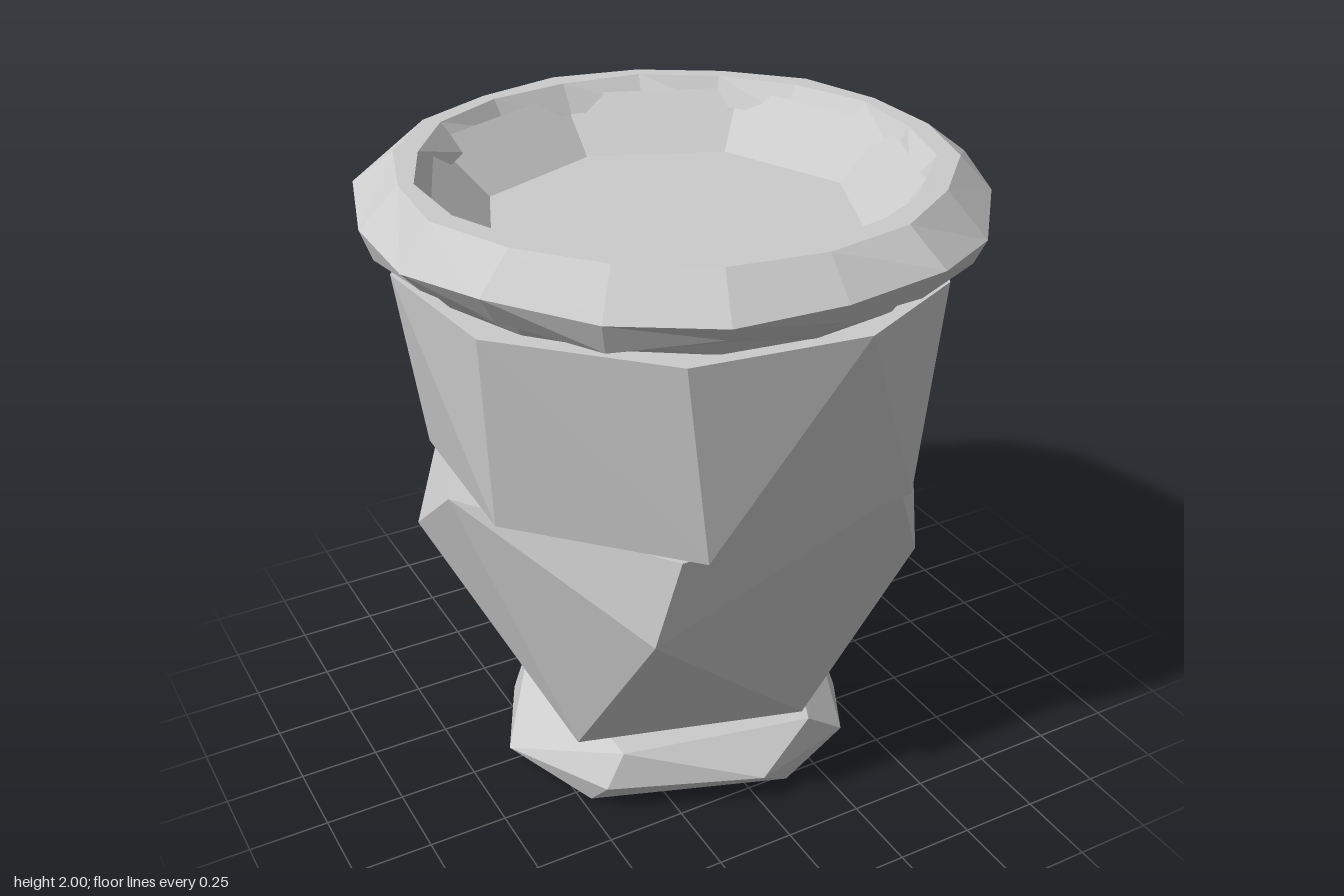
import * as THREE from 'three';
import { ConvexGeometry } from 'three/addons/geometries/ConvexGeometry.js';

const material = new THREE.MeshStandardMaterial({ color: 0xcccccc, flatShading: true });

function addMesh(group, name, geometry) {
  const mesh = new THREE.Mesh(geometry, material);
  mesh.name = name;
  group.add(mesh);
}

// Chiselled block: hull of stacked irregular rings, corners given as [x, z] or [x, z, y]
function block(levels) {
  const points = [];
  for (const [y, ring] of levels) {
    for (const [x, z, own = y] of ring) points.push(new THREE.Vector3(x, own, z));
  }
  return new ConvexGeometry(points);
}

// Lathe with gently uneven rings, for a hand-hewn look
function roughLathe(profile, sides, wobble) {
  const geo = new THREE.LatheGeometry(profile.map(([r, y]) => new THREE.Vector2(r, y)), sides);
  const pos = geo.attributes.position;
  const n = profile.length;
  for (let i = 0; i < pos.count; i++) {
    const side = Math.floor(i / n) % sides, row = i % n;
    const k = 1 + wobble * Math.sin(side * 2.3 + row * 1.7);
    const free = row > 1 && row < n - 3;
    const dy = free ? wobble * 1.4 * Math.sin(side * 4.1 + row) : 0;
    pos.setXYZ(i, pos.getX(i) * k, pos.getY(i) + dy, pos.getZ(i) * k);
  }
  const flat = geo.toNonIndexed();
  flat.computeVertexNormals();
  return flat;
}

export function createModel() {
  const group = new THREE.Group();
  group.name = 'stonePot';

  // Foot
  addMesh(group, 'foot', block([
    [0, [[0.13, 0.52], [0.54, 0.18], [0.42, -0.43], [-0.1, -0.5], [-0.45, -0.35], [-0.47, 0.3]]],
    [0.11, [[0, 0.59], [0.35, 0.5], [0.57, 0], [0.3, -0.55], [-0.2, -0.56], [-0.62, 0, 0.05], [-0.46, 0.4]]],
    [0.23, [[-0.4, 0.4], [0.2, 0.53], [0.47, -0.1], [0.1, -0.47], [-0.4, -0.3]]],
  ]));

  // Lower body, tapering to a four-cornered base
  addMesh(group, 'lowerBody', block([
    [0.23, [[0.2, 0.49], [0.46, -0.22], [-0.2, -0.46], [-0.5, 0.28]]],
    [0.84, [[0.77, 0.02, 0.86], [0.5, 0.62], [-0.44, 0.69], [-0.78, -0.25], [-0.3, -0.73, 0.8], [0.43, -0.64]]],
    [1.12, [[0.73, 0.25], [0.37, 0.7], [-0.37, 0.72], [-0.8, 0.1], [-0.52, -0.58], [0.15, -0.75], [0.62, -0.64, 1.09]]],
  ]));

  // Upper body
  addMesh(group, 'upperBody', block([
    [1.12, [[-0.31, 0.76], [0.39, 0.72], [0.69, 0.36], [0.76, -0.19, 1.14], [0.38, -0.7],
      [-0.35, -0.73], [-0.72, -0.25], [-0.74, 0.3]]],
    [1.735, [[0.14, 0.83], [0.52, 0.65], [0.79, 0.2], [0.64, -0.57], [0.1, -0.83],
      [-0.45, -0.7], [-0.83, -0.15], [-0.78, 0.35], [-0.38, 0.76]]],
  ]));

  // Neck and rolled rim
  addMesh(group, 'rim', roughLathe([
    [0.765, 1.73], [0.82, 1.79], [0.875, 1.805], [0.925, 1.885], [0.81, 1.995], [0.75, 1.995], [0.69, 1.91],
  ], 18, 0.014));

  // Sunken well with flat floor
  const well = new THREE.LatheGeometry(
    [[0.75, 1.96], [0.58, 1.8], [0, 1.8]].map(([r, y]) => new THREE.Vector2(r, y)), 8).toNonIndexed();
  well.computeVertexNormals();
  addMesh(group, 'well', well);

  return group;
}
